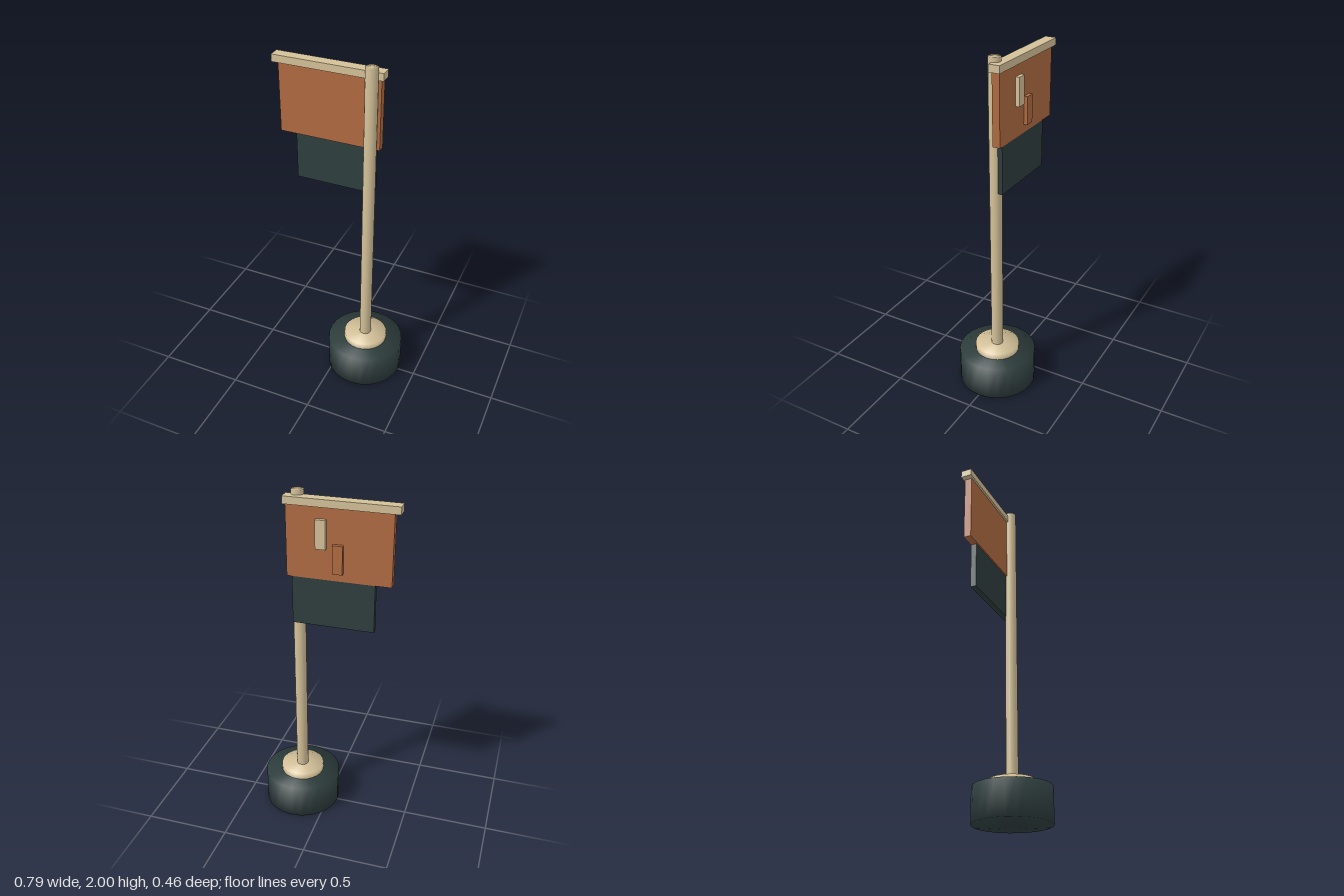
import * as THREE from 'three';
import { mergeVertices } from 'three/addons/utils/BufferGeometryUtils.js';

const POLE_X = 0.168;

export function createModel() {
  const group = new THREE.Group();
  const material = (name, color) => Object.assign(new THREE.MeshStandardMaterial({ color }), { name });
  const cream = material('cream', 0xd4c199);
  const rust = material('rust', 0xb06b42);
  const slate = material('slate', 0x2f3e3e);

  const add = (name, geometry, mat) => {
    const mesh = new THREE.Mesh(geometry, mat);
    mesh.name = name;
    group.add(mesh);
  };

  // Upright cylinder around the pole axis, with normals shared across its rims
  const round = (name, mat, radius, y0, y1, sides) => {
    let geometry = new THREE.CylinderGeometry(radius, radius, y1 - y0, sides);
    geometry.deleteAttribute('uv');
    geometry.deleteAttribute('normal');
    geometry = mergeVertices(geometry);
    geometry.computeVertexNormals();
    geometry.translate(POLE_X, (y0 + y1) / 2, 0);
    add(name, geometry, mat);
  };

  // Box given by its limits on each axis
  const box = (name, mat, [x0, x1], [y0, y1], [z0, z1]) => {
    const geometry = new THREE.BoxGeometry(x1 - x0, y1 - y0, z1 - z0);
    geometry.translate((x0 + x1) / 2, (y0 + y1) / 2, (z0 + z1) / 2);
    add(name, geometry, mat);
  };

  // Weighted foot, collar and pole
  round('base', slate, 0.228, 0, 0.208, 24);
  round('collar', cream, 0.13, 0.17, 0.248, 24);
  round('pole', cream, 0.035, 0.2, 2, 16);

  // Crossbar with the two hanging panels
  box('crossbar', cream, [-0.398, 0.232], [1.933, 1.975], [-0.065, 0]);
  box('upperPanel', rust, [-0.365, 0.218], [1.533, 1.933], [-0.056, -0.012]);
  box('lowerPanel', slate, [-0.275, 0.19], [1.255, 1.533], [-0.054, -0.02]);

  // Raised blocks on the back of the upper panel
  box('creamBlock', cream, [-0.007, 0.05], [1.71, 1.87], [-0.078, -0.05]);
  box('rustBlock', rust, [-0.1, -0.043], [1.58, 1.74], [-0.078, -0.05]);

  return group;
}
